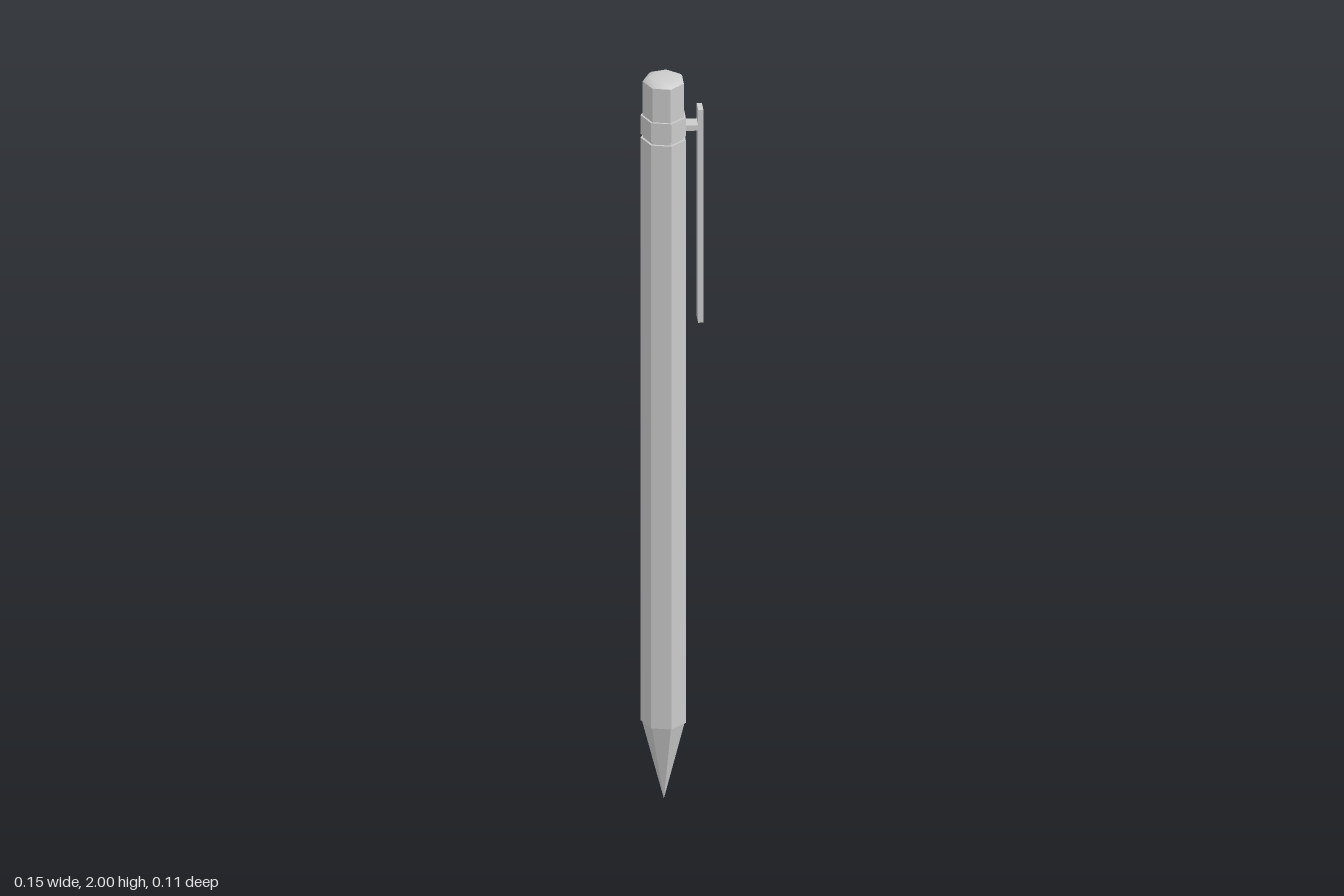
import * as THREE from 'three';

const SIDES = 7;
const AXIS_X = -0.019; // the barrel sits off-centre to balance the clip
const START = -Math.PI / 2; // one corner points to -x

export function createModel() {
  const group = new THREE.Group();
  const flat = new THREE.MeshStandardMaterial({ color: 0xcccccc, flatShading: true });
  const smooth = new THREE.MeshStandardMaterial({ color: 0xcccccc });

  const add = (name, geometry, material, x, y, z) => {
    const mesh = new THREE.Mesh(geometry, material);
    mesh.name = name;
    mesh.position.set(x, y, z);
    group.add(mesh);
  };

  // Seven-sided section of the barrel between two heights
  const section = (name, y0, y1, rBottom, rTop) => add(name,
    new THREE.CylinderGeometry(rTop, rBottom, y1 - y0, SIDES, 1, false, START),
    flat, AXIS_X, (y0 + y1) / 2, 0);

  // Box given by its lower and upper corners
  const block = (name, [x0, y0, z0], [x1, y1, z1]) => add(name,
    new THREE.BoxGeometry(x1 - x0, y1 - y0, z1 - z0),
    flat, (x0 + x1) / 2, (y0 + y1) / 2, (z0 + z1) / 2);

  section('tip', 0, 0.22, 0, 0.054);
  section('barrel', 0.22, 1.833, 0.057, 0.057);
  section('groove', 1.833, 1.843, 0.051, 0.051);
  section('collar', 1.843, 1.895, 0.057, 0.057);
  section('pushButton', 1.895, 1.988, 0.052, 0.052);

  // Shallow smooth dome on the button
  const dome = [[0.052, 1.988], [0.045, 1.994], [0.034, 1.998], [0.018, 1.9995], [0, 2]]
    .map(([r, y]) => new THREE.Vector2(r, y));
  add('buttonDome', new THREE.LatheGeometry(dome, SIDES, START), smooth, AXIS_X, 0, 0);

  // Pocket clip and the bridge joining it to the collar
  block('clipBridge', [0.025, 1.855, -0.016], [0.063, 1.87, 0.02]);
  block('clip', [0.063, 1.323, -0.016], [0.076, 1.912, 0.02]);

  return group;
}
